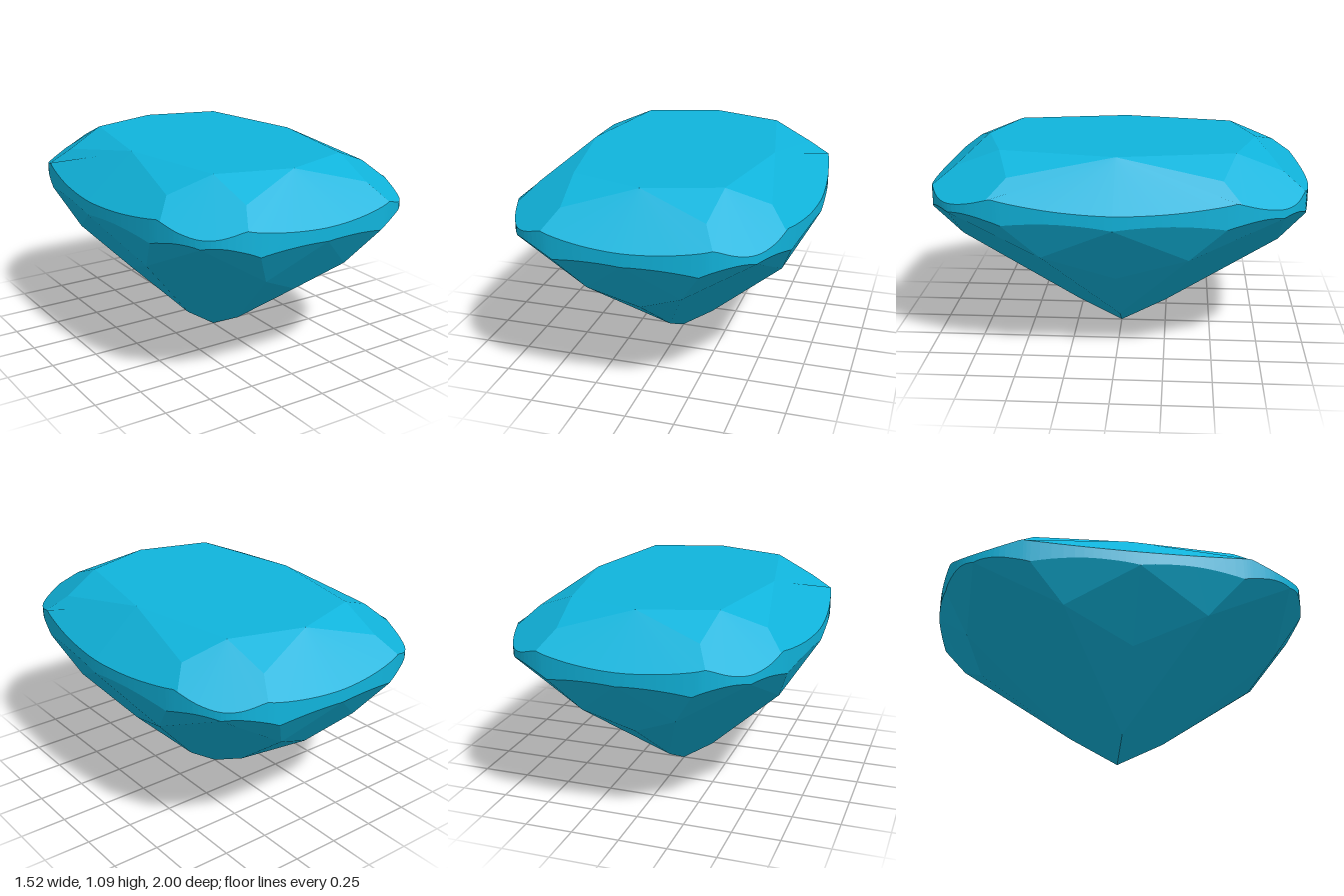
import * as THREE from 'three';

const V = (x, y, z) => new THREE.Vector3(x, y, z);
const STEPS = 4; // samples between outline control points

// Height function y(x, z) of the plane through three points
function planeThrough(a, b, c) {
  const n = b.clone().sub(a).cross(c.clone().sub(a));
  return (x, z) => a.y - (n.x * (x - a.x) + n.z * (z - a.z)) / n.y;
}

// One quarter of the cushion outline, from the front middle to the left middle
function quarterOutline() {
  const q = [[0, 1], [0.2, 0.988], [0.36, 0.963], [0.42, 0.947], [0.53, 0.895], [0.6, 0.83],
    [0.655, 0.73], [0.69, 0.62], [0.707, 0.55], [0.74, 0.33], [0.755, 0.15], [0.76, 0]];
  const back = q.slice(0, -1).reverse().map(([x, z]) => [x, -z]);
  const half = [...q, ...back];
  const other = half.slice(1, -1).reverse().map(([x, z]) => [-x, z]);
  const ring = [...half, ...other];
  const curve = new THREE.CatmullRomCurve3(ring.map(([x, z]) => V(x, 0, z)), true);
  return Array.from({ length: 11 * STEPS + 1 }, (_, i) => curve.getPoint(i / (ring.length * STEPS)));
}

// Flat facets of one quarter, mirrored to all four; each polygon is a fan facing outward
function facetGeometry(polygons) {
  const pos = [], nor = [];
  const centre = V(0, 0.8, 0);
  for (const sx of [1, -1]) for (const sz of [1, -1]) {
    for (const poly of polygons) {
      const p = poly.map(v => V(v.x * sx, v.y, v.z * sz));
      const n = V(0, 0, 0);
      for (let i = 1; i < p.length - 1; i++) {
        n.add(p[i].clone().sub(p[0]).cross(p[i + 1].clone().sub(p[0])));
      }
      n.normalize();
      const mid = p.reduce((s, v) => s.add(v), V(0, 0, 0)).divideScalar(p.length);
      if (n.dot(mid.sub(centre)) < 0) {
        p.reverse();
        p.unshift(p.pop()); // keep the fan apex first
        n.negate();
      }
      for (let i = 1; i < p.length - 1; i++) {
        for (const v of [p[0], p[i], p[i + 1]]) {
          pos.push(v.x, v.y, v.z);
          nor.push(n.x, n.y, n.z);
        }
      }
    }
  }
  const g = new THREE.BufferGeometry();
  g.setAttribute('position', new THREE.Float32BufferAttribute(pos, 3));
  g.setAttribute('normal', new THREE.Float32BufferAttribute(nor, 3));
  return g;
}

export function createModel() {
  const group = new THREE.Group();
  group.name = 'gemstone';
  const material = new THREE.MeshStandardMaterial({ color: 0x10b4dc });
  const outline = quarterOutline();

  // Crown corners: table rim and the points below it
  const T = 1.09;
  const tableFront = V(0, T, 0.72), tableCorner = V(0.385, T, 0.6), tableSide = V(0.5, T, 0);
  const front = (x, z) => T - 0.79 * (z - 0.72);
  const side = (x, z) => T - 0.865 * (x - 0.5);
  const crownFront = V(0.36, front(0, 0.84), 0.84);
  const crownSide = V(0.6, side(0.6), 0.53);
  const corner = planeThrough(tableCorner, crownFront, crownSide);
  const top = outline.map(p => V(p.x, Math.min(front(p.x, p.z), side(p.x, p.z), corner(p.x, p.z)), p.z));

  // Pavilion corners: culet, keel points, kite tips and girdle contacts
  const main = (x, z) => 0.65 * x + 0.52 * z;
  const culet = V(0, 0, 0);
  const keelFront = V(0, main(0, 0.25), 0.25), keelSide = V(0.17, main(0.17, 0), 0);
  const kiteFront = V(0, 0.475, 0.75), kiteSide = V(0.52, 0.455, 0);
  const tipFront = V(0.24, main(0.24, 0.84), 0.84), tipSide = V(0.63, main(0.63, 0.37), 0.37);
  const gFront = V(0, 0.8, 1), gSide = V(0.76, 0.79, 0);
  const gA = V(0.36, 0.778, 0.963), gB = V(0.707, 0.79, 0.55);
  const gCorner = V(0.6, main(0.6, 0.83), 0.83);
  const lower = [
    planeThrough(gFront, tipFront, gA), planeThrough(gA, tipFront, gCorner),
    planeThrough(gCorner, tipSide, gB), planeThrough(gB, tipSide, gSide),
  ];
  const breaks = [0, 2, 5, 8, 11]; // outline control points between the lower facets
  const bottom = outline.map((p, i) => {
    const k = Math.max(0, breaks.findIndex(b => i <= b * STEPS) - 1);
    return V(p.x, lower[k](p.x, p.z), p.z);
  });
  const arc = (line, a, b) => line.slice(a * STEPS, b * STEPS + 1);

  const add = (name, polygons) => {
    const mesh = new THREE.Mesh(facetGeometry(polygons), material);
    mesh.name = name;
    group.add(mesh);
  };

  add('table', [[V(0, T, 0), tableFront, tableCorner, tableSide]]);

  add('crown', [
    [tableFront, tableCorner, crownFront],
    [tableSide, tableCorner, crownSide],
    [tableFront, ...arc(top, 0, 3), crownFront],
    [tableCorner, crownFront, ...arc(top, 3, 7), crownSide],
    [tableSide, crownSide, ...arc(top, 7, 11)],
  ]);

  add('girdle', outline.slice(1).map((_, i) => [top[i], top[i + 1], bottom[i + 1], bottom[i]]));

  add('pavilion', [
    [culet, keelFront, tipFront, gCorner, tipSide, keelSide],
    [keelFront, kiteFront, tipFront],
    [keelSide, kiteSide, tipSide],
    [kiteFront, gFront, tipFront],
    [kiteSide, gSide, tipSide],
    [tipFront, ...arc(bottom, 0, 2)],
    [tipFront, ...arc(bottom, 2, 5)],
    [tipSide, ...arc(bottom, 5, 8)],
    [tipSide, ...arc(bottom, 8, 11)],
  ]);

  return group;
}
